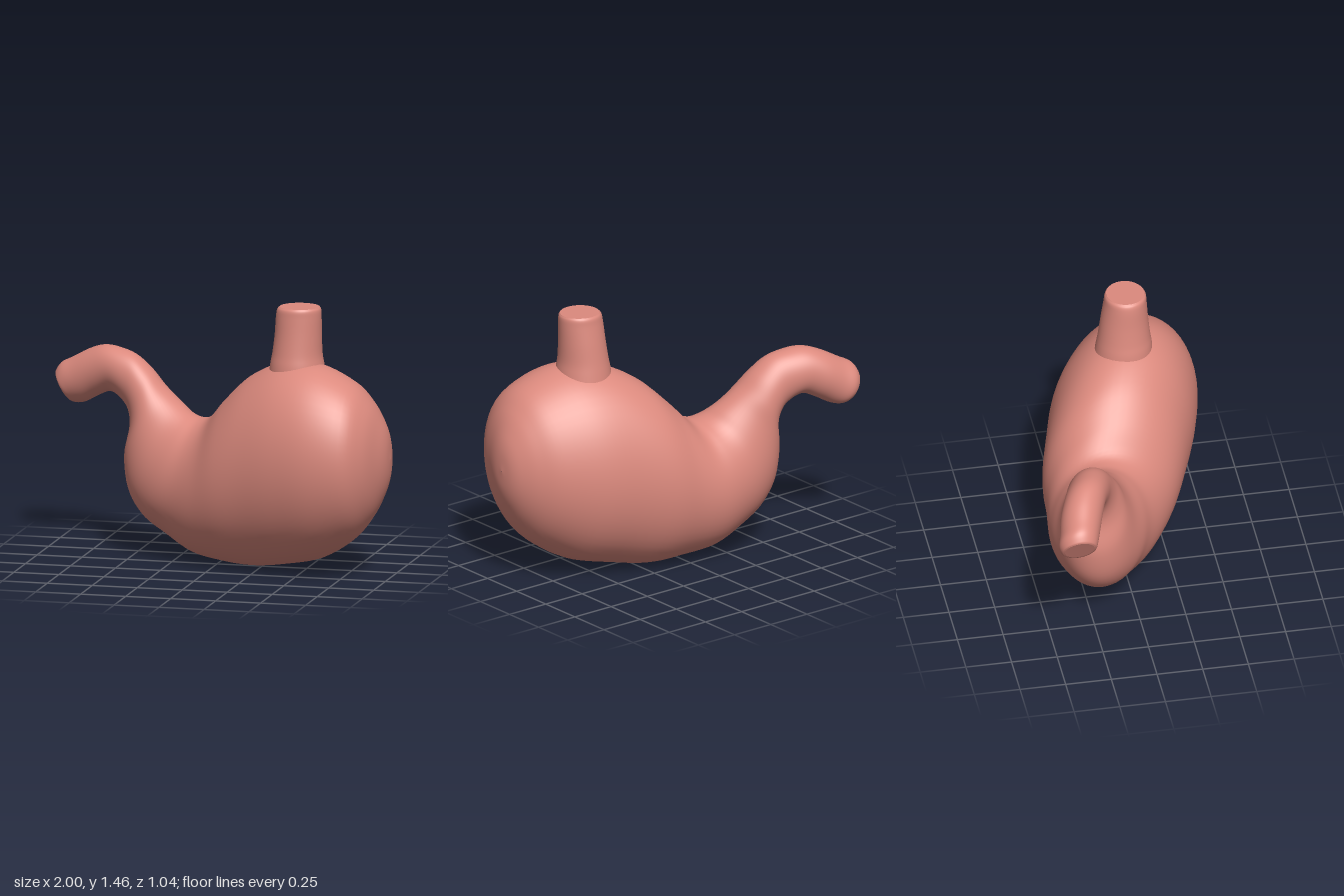
import * as THREE from 'three';

const LEAN = 0.06; // how far the top of a section tips towards the front

// Skin a row of elliptical sections. Each section is [ux, uy, zFront, lx, ly, zBack]:
// two opposite edge points in the xy plane plus its front and back depth.
function loft(sections, steps, sides) {
  const spline = (o) => new THREE.CatmullRomCurve3(
    sections.map((s) => new THREE.Vector3(s[o], s[o + 1], s[o + 2])), false, 'catmullrom', 0.5);
  const edgeA = spline(0), edgeB = spline(3);
  const pos = [], index = [];
  const addRing = (a, b, scale) => {
    const half = a.clone().sub(b).multiplyScalar(0.5);
    for (let j = 0; j < sides; j++) {
      const t = (j / sides) * Math.PI * 2;
      const c = Math.cos(t) * scale, s = Math.sin(t) * scale;
      pos.push(
        (a.x + b.x) / 2 + half.x * c,
        (a.y + b.y) / 2 + half.y * c,
        (a.z + b.z) / 2 + half.z * s + half.y * LEAN * c);
    }
  };
  const bridge = (r) => {
    for (let j = 0; j < sides; j++) {
      const k = (j + 1) % sides;
      const a = r * sides + j, b = r * sides + k, c = a + sides, d = b + sides;
      index.push(a, c, b, b, c, d);
    }
  };
  for (let i = 0; i <= steps; i++) {
    addRing(edgeA.getPoint(i / steps), edgeB.getPoint(i / steps), 1);
    if (i < steps) bridge(i);
  }
  // flat end cap with its own vertices, so the rim stays sharp
  const a = edgeA.getPoint(1), b = edgeB.getPoint(1);
  addRing(a, b, 1);
  addRing(a, b, 0.001);
  bridge(steps + 1);

  const geo = new THREE.BufferGeometry();
  geo.setAttribute('position', new THREE.Float32BufferAttribute(pos, 3));
  geo.setIndex(index);
  geo.computeVertexNormals();
  return geo;
}

export function createModel() {
  const group = new THREE.Group();
  group.name = 'stomach';
  const flesh = new THREE.MeshStandardMaterial({ color: 0xdc8a7e });
  flesh.name = 'flesh pink';
  const add = (name, geo) => {
    const mesh = new THREE.Mesh(geo, flesh);
    mesh.name = name;
    group.add(mesh);
  };

  // Rounded pouch, swept from its closed end round the lower bend
  const pouch = [
    [1.0, 0.652, 0.132, 1.0, 0.648, 0.128],
    [0.99, 0.765, 0.205, 0.99, 0.54, 0.055],
    [0.96, 0.86, 0.285, 0.96, 0.44, -0.01],
    [0.9, 0.97, 0.405, 0.9, 0.32, -0.09],
    [0.8, 1.07, 0.495, 0.8, 0.2, -0.18],
    [0.6, 1.15, 0.515, 0.62, 0.085, -0.285],
    [0.4, 1.145, 0.47, 0.4, 0.03, -0.35],
    [0.2, 1.05, 0.39, 0.2, 0.0, -0.405],
    [0.05, 0.91, 0.31, 0.02, 0.01, -0.415],
    [-0.05, 0.795, 0.21, -0.16, 0.04, -0.43],
    [-0.12, 0.77, 0.12, -0.32, 0.125, -0.43],
    [-0.18, 0.785, 0.06, -0.45, 0.21, -0.42],
    [-0.23, 0.82, 0.0, -0.54, 0.34, -0.41],
    [-0.29, 0.865, -0.05, -0.57, 0.52, -0.4],
  ];
  // Narrow outlet that rises, arches over and points down
  const outlet = [
    [-0.36, 0.925, -0.09, -0.545, 0.67, -0.4],
    [-0.43, 1.0, -0.13, -0.55, 0.74, -0.4],
    [-0.52, 1.07, -0.165, -0.575, 0.79, -0.405],
    [-0.62, 1.1, -0.195, -0.625, 0.835, -0.43],
    [-0.71, 1.105, -0.225, -0.68, 0.85, -0.455],
    [-0.8, 1.075, -0.255, -0.75, 0.82, -0.485],
    [-0.9, 1.02, -0.285, -0.82, 0.78, -0.505],
    [-0.965, 0.985, -0.305, -0.87, 0.765, -0.52],
    [-0.995, 0.945, -0.32, -0.905, 0.77, -0.51],
    [-0.998, 0.93, -0.335, -0.92, 0.785, -0.495],
  ];
  add('stomachBody', loft([...pouch, ...outlet], 120, 56));

  // Inlet pipe with a flared foot sunk into the pouch and a softened rim
  add('inletPipe', loft([
    [0.635, 1.02, 0.25, 0.31, 1.02, -0.08],
    [0.617, 1.13, 0.242, 0.322, 1.13, -0.062],
    [0.606, 1.2, 0.232, 0.335, 1.2, -0.05],
    [0.604, 1.3, 0.222, 0.348, 1.3, -0.035],
    [0.604, 1.4, 0.215, 0.356, 1.4, -0.018],
    [0.602, 1.44, 0.212, 0.364, 1.44, -0.012],
    [0.594, 1.455, 0.203, 0.378, 1.455, -0.002],
  ], 36, 40));

  return group;
}
